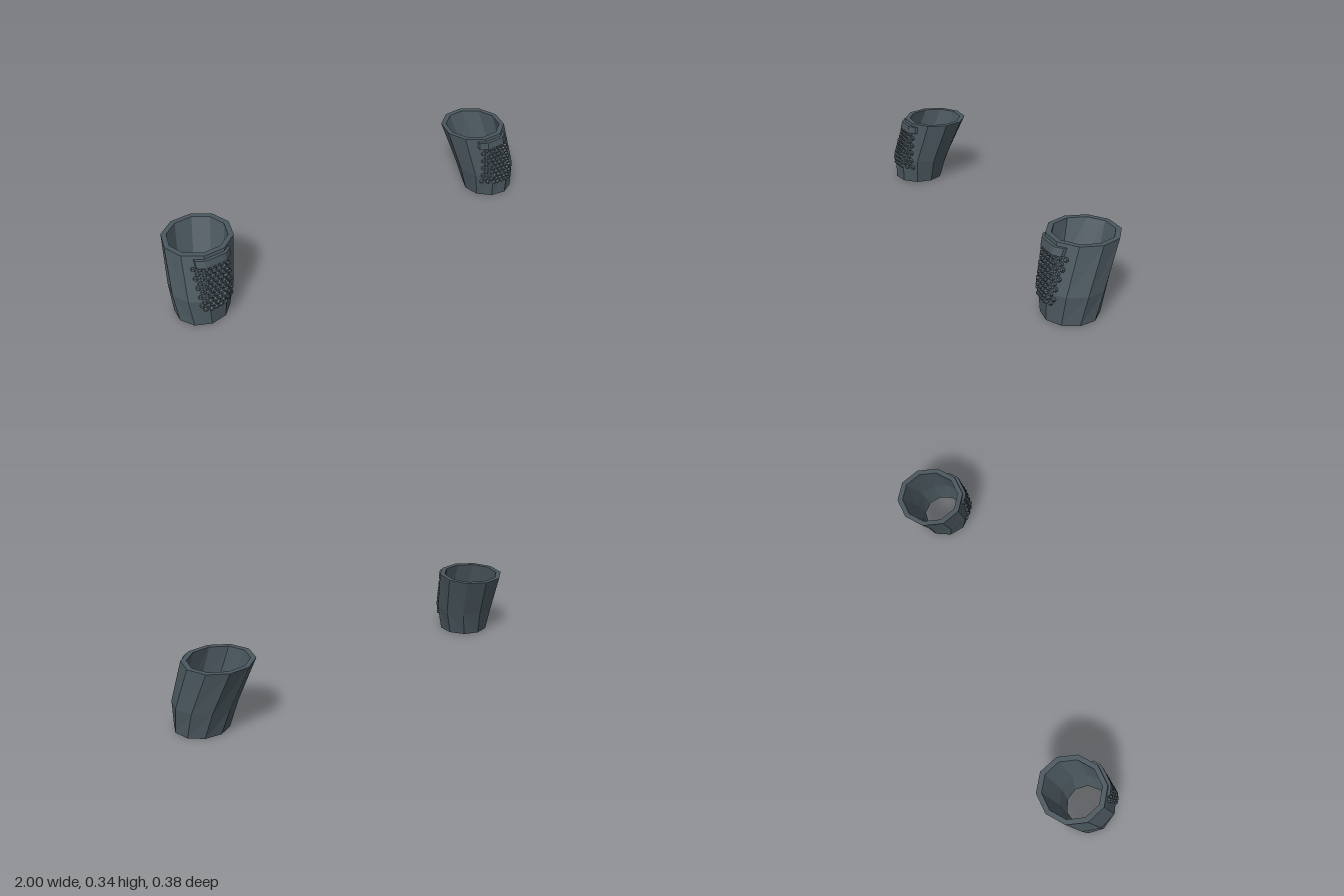
import * as THREE from 'three';
import { mergeGeometries } from 'three/addons/utils/BufferGeometryUtils.js';

const SIDES = 10;
const WALL = 0.025;
// Horizontal sections of the left sleeve: height, centre, radius, twist in degrees
const SECTIONS = [
  { y: 0, x: 0.864, z: 0.05, r: 0.127, twist: 10 },
  { y: 0.13, x: 0.85, z: 0.0325, r: 0.148, twist: 4 },
  { y: 0.34, x: 0.811, z: -0.034, r: 0.163, twist: 0 },
];

const corner = (s, i, inset = 0) => {
  const a = THREE.MathUtils.degToRad(s.twist + (i * 360) / SIDES);
  const r = s.r - inset;
  return new THREE.Vector3(s.x + r * Math.cos(a), s.y, s.z + r * Math.sin(a));
};

// Depth of the sleeve's front wall at a given x and height
function frontZ(x, y) {
  const k = y < SECTIONS[1].y ? 0 : 1;
  const lo = SECTIONS[k], hi = SECTIONS[k + 1];
  const t = (y - lo.y) / (hi.y - lo.y);
  const at = (i) => corner(lo, i).lerp(corner(hi, i), t);
  for (let i = 0; i < SIDES / 2; i++) {
    const a = at(i), b = at(i + 1);
    if (x <= a.x && x >= b.x) return THREE.MathUtils.lerp(a.z, b.z, (a.x - x) / (a.x - b.x));
  }
  return SECTIONS[k].z;
}

function frontNormal(x, y) {
  const e = 0.008;
  const dx = (frontZ(x + e, y) - frontZ(x - e, y)) / (2 * e);
  const dy = (frontZ(x, y + e) - frontZ(x, y - e)) / (2 * e);
  return new THREE.Vector3(-dx, -dy, 1).normalize();
}

// Thick-walled open tube: up the outside, over the rim, down the inside
function sleeveGeometry() {
  const loops = [
    ...SECTIONS.map((s) => [s, 0]),
    ...[...SECTIONS].reverse().map((s) => [s, WALL]),
  ];
  const points = [], index = [];
  loops.forEach(([s, inset]) => {
    for (let i = 0; i < SIDES; i++) points.push(corner(s, i, inset));
  });
  for (let j = 0; j < loops.length; j++) {
    const up = (j + 1) % loops.length;
    for (let i = 0; i < SIDES; i++) {
      const n = (i + 1) % SIDES;
      const a = j * SIDES + i, b = j * SIDES + n, c = up * SIDES + i, d = up * SIDES + n;
      index.push(a, c, b, b, c, d);
    }
  }
  const g = new THREE.BufferGeometry().setFromPoints(points);
  g.setIndex(index);
  return g.toNonIndexed();
}

// Staggered rows of small hexagonal studs set on the front wall
function studsGeometry() {
  const studs = [], rows = 10, cols = 7;
  const up = new THREE.Vector3(0, 1, 0);
  for (let row = 0; row < rows; row++) {
    const y = 0.088 + row * 0.0212;
    for (let col = 0; col < cols; col++) {
      const x = 0.76 + col * 0.0245 + (row % 2 ? 0.006 : -0.006);
      const normal = frontNormal(x, y);
      const g = new THREE.CylinderGeometry(0.007, 0.0135, 0.014, 6);
      g.applyQuaternion(new THREE.Quaternion().setFromUnitVectors(up, normal));
      g.translate(x + normal.x * 0.004, y + normal.y * 0.004, frontZ(x, y) + normal.z * 0.004);
      studs.push(g.toNonIndexed());
    }
  }
  return mergeGeometries(studs);
}

// Curved bar that hugs the front wall above the studs
function barGeometry() {
  const g = new THREE.BoxGeometry(0.172, 0.035, 1, 10, 1, 1).toNonIndexed();
  const p = g.attributes.position;
  for (let i = 0; i < p.count; i++) {
    const x = 0.817 + p.getX(i), y = 0.3075 + p.getY(i);
    p.setXYZ(i, x, y, frontZ(x, y) + (p.getZ(i) > 0 ? 0.015 : -0.005));
  }
  return g;
}

// Reflect a non-indexed geometry across x = 0, keeping faces outward
function mirrored(source) {
  const g = source.clone();
  const p = g.attributes.position;
  const a = new THREE.Vector3(), b = new THREE.Vector3(), c = new THREE.Vector3();
  for (let i = 0; i < p.count; i += 3) {
    a.fromBufferAttribute(p, i);
    b.fromBufferAttribute(p, i + 1);
    c.fromBufferAttribute(p, i + 2);
    p.setXYZ(i, -a.x, a.y, a.z);
    p.setXYZ(i + 1, -c.x, c.y, c.z);
    p.setXYZ(i + 2, -b.x, b.y, b.z);
  }
  return g;
}

export function createModel() {
  const model = new THREE.Group();
  model.name = 'sleevePair';
  const material = new THREE.MeshStandardMaterial({ color: 0x4a575e, flatShading: true });
  const parts = { sleeve: sleeveGeometry(), studs: studsGeometry(), bar: barGeometry() };

  for (const side of ['left', 'right']) {
    const group = new THREE.Group();
    group.name = side + 'Sleeve';
    for (const [name, geometry] of Object.entries(parts)) {
      const g = side === 'left' ? geometry.clone() : mirrored(geometry);
      g.computeVertexNormals();
      const mesh = new THREE.Mesh(g, material);
      mesh.name = name;
      group.add(mesh);
    }
    model.add(group);
  }
  return model;
}
